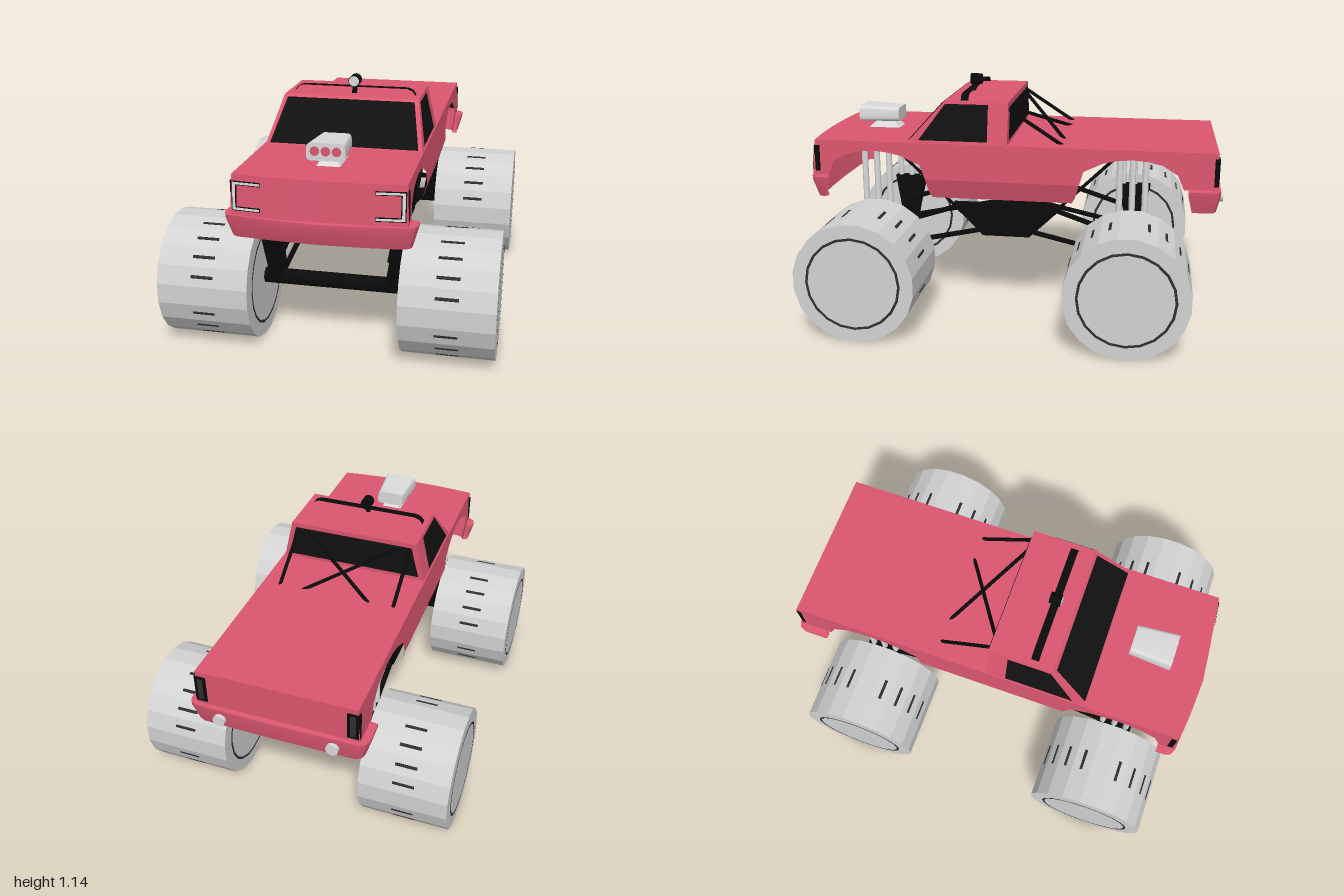
import * as THREE from 'three';
import { toCreasedNormals } from 'three/addons/utils/BufferGeometryUtils.js';

const mat = (name, color, side = THREE.DoubleSide) => {
  const m = new THREE.MeshStandardMaterial({ color, side });
  m.name = name;
  return m;
};
const V = (x, y, z) => new THREE.Vector3(x, y, z);

export function createModel() {
  const red = mat('body red', 0xdb566f), glass = mat('dark glass', 0x111111);
  const black = mat('frame black', 0x0a0a0a), grey = mat('tyre grey', 0xd2d2d2);
  const dark = mat('groove grey', 0x303030), chrome = mat('chrome', 0xdadada);
  const truck = new THREE.Group();
  truck.name = 'monsterTruck';

  const add = (name, geo, m, parent = truck) => {
    const mesh = new THREE.Mesh(geo, m);
    mesh.name = name;
    parent.add(mesh);
    return mesh;
  };
  // Skin stretched over rows of points
  const skin = (name, rows, m, crease = 0.4) => {
    const n = rows[0].length, idx = [];
    for (let r = 0; r < rows.length - 1; r++)
      for (let c = 0; c < n - 1; c++) {
        const a = r * n + c;
        idx.push(a, a + n, a + 1, a + 1, a + n, a + n + 1);
      }
    const g = new THREE.BufferGeometry().setFromPoints(rows.flat());
    g.setIndex(idx);
    return add(name, toCreasedNormals(g, crease), m);
  };
  const quad = (name, a, b, c, d, m) => skin(name, [[a, b], [d, c]], m);
  const box = (name, w, h, d, x, y, z, m) => {
    const mesh = add(name, new THREE.BoxGeometry(w, h, d), m);
    mesh.position.set(x, y, z);
    return mesh;
  };
  const rod = (name, a, b, r, m, sides = 8) => {
    const dir = b.clone().sub(a);
    const mesh = add(name, new THREE.CylinderGeometry(r, r, dir.length(), sides), m);
    mesh.position.copy(a).add(b).multiplyScalar(0.5);
    mesh.quaternion.setFromUnitVectors(V(0, 1, 0), dir.normalize());
    return mesh;
  };

  // Body sides with wheel arches, pinched inward below the crease
  const sideX = y => y >= 0.69 ? 0.375 - 0.04 * (y - 0.69) : 0.375 - 0.3 * (0.69 - y);
  const sidePanel = (name, pts, s) => {
    const g = new THREE.ShapeGeometry(new THREE.Shape(pts.map(p => new THREE.Vector2(...p))));
    const p = g.attributes.position;
    for (let i = 0; i < p.count; i++) p.setXYZ(i, s * sideX(p.getY(i)), p.getY(i), p.getX(i));
    g.computeVertexNormals();
    add(name, g, red);
  };
  const upper = [[-0.965, 0.865], [0.94, 0.865], [0.955, 0.69], [0.88, 0.69], [0.85, 0.76], [0.785, 0.8],
    [0.72, 0.815], [0.655, 0.82], [0.59, 0.815], [0.52, 0.8], [0.425, 0.757], [0.4, 0.69],
    [-0.335, 0.69], [-0.355, 0.757], [-0.445, 0.8], [-0.515, 0.815], [-0.58, 0.82], [-0.645, 0.815],
    [-0.715, 0.8], [-0.785, 0.757], [-0.815, 0.69], [-0.965, 0.69]];
  const rocker = [[0.4, 0.69], [0.385, 0.62], [0.37, 0.595], [-0.3, 0.595], [-0.315, 0.62], [-0.335, 0.69]];
  for (const s of [-1, 1]) {
    sidePanel('bodySide', upper, s);
    sidePanel('rockerPanel', rocker, s);
  }

  // Bowed nose, hood and bed cover, tail
  const noseZ = (x, y) => 0.94 + 0.015 * (0.865 - y) / 0.175 + 0.022 * (1 - (x / 0.37) ** 2);
  const xs = [-1, -0.75, -0.5, -0.25, 0, 0.25, 0.5, 0.75, 1];
  skin('nose', [0.865, 0.69].map(y => xs.map(t => V(t * sideX(y), y, noseZ(t * sideX(y), y)))), red);
  skin('topDeck', [xs.map(t => V(t * 0.368, 0.865, -0.965)),
    xs.map(t => V(t * 0.368, 0.865, noseZ(t * 0.368, 0.865)))], red);
  quad('tailgate', V(-0.368, 0.865, -0.965), V(0.368, 0.865, -0.965),
    V(0.375, 0.69, -0.965), V(-0.375, 0.69, -0.965), red);

  // Wraparound bumpers
  const ring = (y, w, end, corner, mid) => {
    const half = [[w, end], [w, corner - 0.035], [w - 0.01, corner - 0.012], [w - 0.035, corner],
      [0.2, corner + (mid - corner) * 0.6]];
    return [...half.map(([x, z]) => V(-x, y, z)), V(0, y, mid), ...half.reverse().map(([x, z]) => V(x, y, z))];
  };
  const bumper = (name, s, top, low, end) => {
    const rows = [ring(0.695, 0.372, end, 0.945, 0.96), ring(0.69, 0.41, end, ...top),
      ring(0.67, 0.408, end, ...top), ring(0.587, 0.385, end + 0.02, ...low),
      ring(0.587, 0.36, end + 0.02, 0.92, 0.93), ring(0.695, 0.372, end, 0.945, 0.96)];
    rows.flat().forEach(p => { p.z *= s; });
    skin(name, rows, red, 0.6);
  };
  bumper('frontBumper', 1, [0.96, 0.997], [0.94, 0.962], 0.875);
  bumper('rearBumper', -1, [0.982, 0.988], [0.965, 0.97], 0.835);

  // Lamp trims, corner lamps and reversing lamps
  const trim = (name, x0, x1, y0, y1, off, m) => {
    const p = (x, y) => V(x, y, noseZ(x, y) + off);
    quad(name, p(x0, y0), p(x1, y0), p(x1, y1), p(x0, y1), m);
  };
  for (const s of [-1, 1]) {
    for (const [x0, x1, y0, y1] of [[0.24, 0.366, 0.82, 0.838], [0.24, 0.366, 0.712, 0.73], [0.344, 0.366, 0.712, 0.838]])
      trim('headlightTrimEdge', s * x0, s * x1, y0, y1, 0.004, black);
    for (const [x0, x1, y0, y1] of [[0.243, 0.362, 0.824, 0.834], [0.243, 0.362, 0.716, 0.726], [0.349, 0.362, 0.716, 0.834]])
      trim('headlightTrim', s * x0, s * x1, y0, y1, 0.007, chrome);
    box('frontCornerLamp', 0.006, 0.125, 0.024, s * 0.372, 0.775, 0.93, black);
    box('rearCornerLamp', 0.006, 0.13, 0.016, s * 0.372, 0.775, -0.957, black);
    box('tailLamp', 0.05, 0.13, 0.008, s * 0.345, 0.775, -0.967, black);
    box('tailLampLens', 0.024, 0.11, 0.006, s * 0.345, 0.775, -0.97, dark);
    rod('reverseLamp', V(s * 0.26, 0.64, -0.96), V(s * 0.26, 0.64, -1), 0.028, chrome, 20);
  }

  // Cab with glass
  const cabX = y => 0.362 - 0.045 * (y - 0.865) / 0.195;
  const shieldZ = y => 0.485 - 0.175 * (y - 0.865) / 0.195;
  const [b, t] = [0.865, 1.06];
  quad('cabFront', V(-cabX(b), b, shieldZ(b)), V(cabX(b), b, shieldZ(b)), V(cabX(t), t, 0.31), V(-cabX(t), t, 0.31), red);
  quad('roof', V(-cabX(t), t, 0.31), V(cabX(t), t, 0.31), V(cabX(t), t, 0.005), V(-cabX(t), t, 0.005), red);
  quad('cabBack', V(-cabX(b), b, 0.005), V(cabX(b), b, 0.005), V(cabX(t), t, 0.005), V(-cabX(t), t, 0.005), red);
  const g = (x, y) => V(x, y, shieldZ(y) + 0.006);
  quad('windshield', g(-0.343, 0.87), g(0.343, 0.87), g(0.299, 1.05), g(-0.299, 1.05), glass);
  quad('rearWindow', V(-0.335, 0.885, 0), V(0.335, 0.885, 0), V(0.295, 1.04, 0), V(-0.295, 1.04, 0), glass);
  for (const s of [-1, 1]) {
    const p = (z, y, off = 0) => V(s * (cabX(y) + off), y, z);
    quad('cabSide', p(shieldZ(b), b), p(0.005, b), p(0.005, t), p(0.31, t), red);
    quad('sideWindow', p(0.43, 0.878, 0.004), p(0.1, 0.878, 0.004), p(0.1, 1.048, 0.004), p(0.305, 1.048, 0.004), glass);
  }

  // Roof strip and spotlight
  const strip = [[-0.29, 1.06], [-0.275, 1.08], [-0.25, 1.09], [0.25, 1.09], [0.275, 1.08], [0.29, 1.06]];
  skin('roofBar', [0.2, 0.237].map(z => strip.map(([x, y]) => V(x, y, z))), black, 0.1);
  rod('spotlight', V(0, 1.118, 0.19), V(0, 1.118, 0.245), 0.027, black, 16);
  rod('spotlightLens', V(0, 1.118, 0.245), V(0, 1.118, 0.248), 0.024, chrome, 16);
  rod('spotlightStem', V(0, 1.06, 0.235), V(0, 1.11, 0.215), 0.012, black);

  // Bed braces
  for (const s of [-1, 1]) {
    rod('bedBrace', V(s * 0.285, 1.025, 0.01), V(s * 0.285, 0.85, -0.26), 0.009, black);
    rod('crossBrace', V(s * 0.235, 1.025, 0.01), V(-s * 0.185, 0.85, -0.26), 0.009, black);
  }

  // Air scoop on the hood
  const scoop = new THREE.Shape();
  scoop.moveTo(-0.065, 0.9).lineTo(0.065, 0.9).quadraticCurveTo(0.085, 0.9, 0.085, 0.925)
    .lineTo(0.082, 0.96).quadraticCurveTo(0.08, 0.978, 0.06, 0.978)
    .lineTo(-0.06, 0.978).quadraticCurveTo(-0.08, 0.978, -0.082, 0.96)
    .lineTo(-0.085, 0.925).quadraticCurveTo(-0.085, 0.9, -0.065, 0.9);
  const sg = new THREE.ExtrudeGeometry(scoop, { depth: 0.2, bevelEnabled: false, curveSegments: 5 });
  const sp = sg.attributes.position;
  for (let i = 0; i < sp.count; i++) {
    const z = sp.getZ(i), y = sp.getY(i);
    sp.setX(i, sp.getX(i) * (0.82 + 0.9 * z));
    if (y > 0.93) sp.setY(i, y - 0.01 * (1 - z / 0.2));
  }
  add('airScoop', toCreasedNormals(sg, 0.6), chrome).position.z = 0.608;
  for (const x of [-0.047, 0, 0.047])
    rod('scoopIntake', V(x, 0.942, 0.805), V(x, 0.942, 0.813), 0.02, red, 16);
  const blower = add('blowerBase', new THREE.CylinderGeometry(0.035, 0.075, 0.04, 4, 1).rotateY(Math.PI / 4).toNonIndexed(), chrome);
  blower.geometry.computeVertexNormals();
  blower.scale.z = 1.5;
  blower.position.set(0, 0.884, 0.69);

  // Centre frame tub: two plates and a floor
  const tub = new THREE.Shape([[0.29, 0.545], [-0.26, 0.545], [-0.22, 0.51], [-0.085, 0.38], [0.145, 0.38], [0.26, 0.5]]
    .map(p => new THREE.Vector2(-p[0], p[1])));
  for (const s of [-1, 1]) {
    const plate = add('framePlate', new THREE.ExtrudeGeometry(tub, { depth: 0.024, bevelEnabled: false }), black);
    plate.rotation.y = Math.PI / 2;
    plate.position.x = s * 0.24 - 0.012;
  }
  box('frameFloor', 0.46, 0.008, 0.23, 0, 0.381, 0.03, black);

  // Axles, suspension and wheels at each end
  for (const [end, az] of [[1, 0.655], [-1, -0.58]]) {
    const mid = 0.03;
    rod('axle', V(-0.335, 0.285, az), V(0.335, 0.285, az), 0.036, black, 14);
    for (const s of [-1, 1]) {
      // Flared bracket that carries the shocks
      const slab = (y, w, x0, x1) => [[x0, -w], [x1, -w], [x1, w], [x0, w], [x0, -w]].map(([x, z]) => V(s * x, y, az + z));
      skin('shockBracket', [slab(0.27, 0.035, 0.23, 0.295), slab(0.36, 0.05, 0.245, 0.305), slab(0.52, 0.085, 0.275, 0.322)], black);
      box('shockSeat', 0.045, 0.01, 0.17, s * 0.299, 0.517, az, black);
      for (const dz of [-0.06, 0, 0.06])
        rod('shock', V(s * 0.302, 0.5, az + dz), V(s * 0.302, 0.85, az + dz), 0.015, chrome, 12);
      rod('upperLink', V(s * 0.24, 0.53, mid + end * 0.22), V(s * 0.25, 0.4, az), 0.013, black);
      rod('lowerLink', V(s * 0.24, 0.41, mid + end * 0.11), V(s * 0.25, 0.3, az), 0.013, black);
      rod('bodyStrut', V(s * 0.25, 0.4, mid + end * 0.12), V(s * 0.285, 0.83, mid + end * 0.55), 0.008, black);

      const wheel = new THREE.Group();
      wheel.name = 'wheel';
      wheel.position.set(s * 0.534, 0.285, az);
      truck.add(wheel);
      const tyre = new THREE.CylinderGeometry(0.285, 0.285, 0.412, 20).rotateY(Math.PI / 20).rotateZ(Math.PI / 2);
      add('tyre', toCreasedNormals(tyre, 0.1), grey, wheel);
      for (const side of [-1, 1]) {
        const rim = add('rimLine', new THREE.RingGeometry(0.211, 0.223, 20), dark, wheel);
        rim.rotation.y = side * Math.PI / 2;
        rim.position.x = side * 0.209;
      }
      for (let k = 0; k < 20; k++) {
        if (k % 5 === 0) continue;
        const a = k * Math.PI / 10;
        const slit = add('treadSlit', new THREE.CylinderGeometry(0.007, 0.007, 0.1, 6).rotateZ(Math.PI / 2), dark, wheel);
        slit.scale.y = 0.4;
        slit.rotation.x = -a + Math.PI / 2;
        slit.position.set(0, Math.sin(a) * 0.2815, Math.cos(a) * 0.2815);
      }
    }
  }
  return truck;
}
